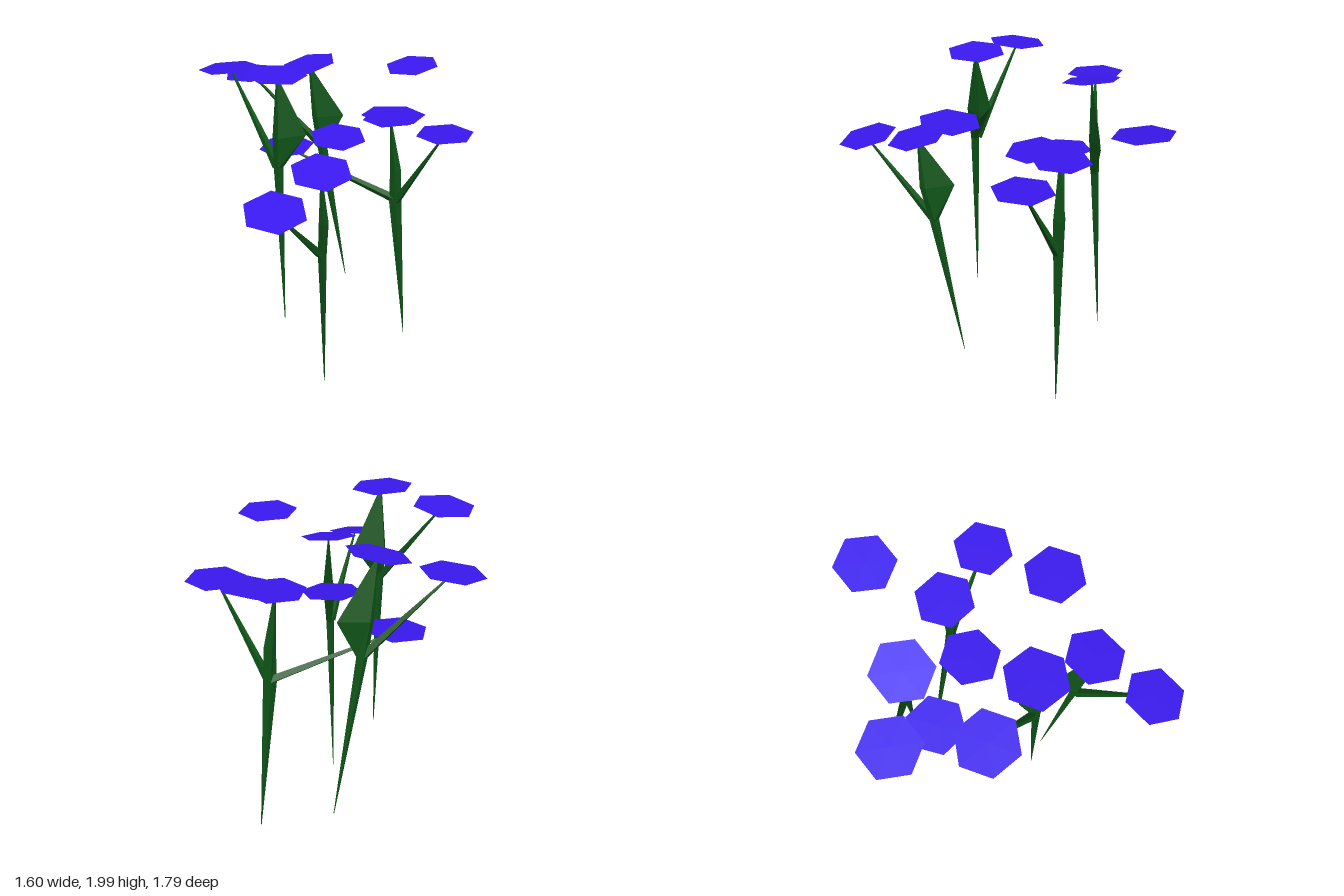
import * as THREE from 'three';

const green = new THREE.MeshStandardMaterial({ color: 0x0f5518, flatShading: true, side: THREE.DoubleSide });
const blue = new THREE.MeshStandardMaterial({ color: 0x3a18f0, flatShading: true, side: THREE.DoubleSide });

// Four-cornered loft. Each ring: [x, y, z, left, right, back, front] (reach from its centre)
function loft(rings) {
  const pos = [], idx = [];
  rings.forEach(([x, y, z, l, r, b, f], i) => {
    pos.push(x + r, y, z, x, y, z + f, x - l, y, z, x, y, z - b);
    if (!i) return;
    for (let k = 0; k < 4; k++) {
      const a = (i - 1) * 4 + k, c = (i - 1) * 4 + (k + 1) % 4;
      idx.push(a, a + 4, c, c, a + 4, c + 4);
    }
  });
  const g = new THREE.BufferGeometry();
  g.setAttribute('position', new THREE.Float32BufferAttribute(pos, 3));
  g.setIndex(idx);
  g.computeVertexNormals();
  return g;
}

// Thin tapered side branch between two points
function branch(from, to) {
  const a = new THREE.Vector3(...from), b = new THREE.Vector3(...to);
  const g = new THREE.CylinderGeometry(0.005, 0.028, a.distanceTo(b), 4, 1);
  const mesh = new THREE.Mesh(g, green);
  mesh.position.copy(a).lerp(b, 0.5);
  mesh.quaternion.setFromUnitVectors(new THREE.Vector3(0, 1, 0), b.sub(a).normalize());
  mesh.name = 'sideBranch';
  return mesh;
}

// Flat hexagonal bloom: a = corner angle in degrees, sx and sz = slope of the plane
function bloom([x, y, z, a, sx, sz]) {
  const g = new THREE.CircleGeometry(0.175, 6, THREE.MathUtils.degToRad(-a));
  g.rotateX(-Math.PI / 2);
  const p = g.attributes.position;
  for (let i = 0; i < p.count; i++) p.setY(i, p.getX(i) * sx + p.getZ(i) * sz);
  g.computeVertexNormals();
  const mesh = new THREE.Mesh(g, blue);
  mesh.position.set(x, y, z);
  mesh.name = 'bloom';
  return mesh;
}

// Stems run root, node, leaf bulge, tip; branches start near the node
const plants = [
  {
    rings: [
      [-0.355, 0.42, 0.06, 0.002, 0.002, 0.002, 0.002],
      [-0.365, 1.45, 0.065, 0.025, 0.03, 0.025, 0.025],
      [-0.36, 1.64, 0.055, 0.03, 0.16, 0.085, 0.055],
      [-0.355, 1.985, 0.06, 0.004, 0.004, 0.004, 0.004]],
    branches: [[[-0.37, 1.45, 0.05], [-0.62, 1.95, -0.23]]],
  },
  {
    rings: [
      [0.46, 0.01, -0.33, 0.002, 0.002, 0.002, 0.002],
      [0.375, 1.02, -0.325, 0.04, 0.04, 0.03, 0.03],
      [0.36, 1.24, -0.325, 0.025, 0.045, 0.035, 0.035],
      [0.33, 1.58, -0.32, 0.004, 0.004, 0.004, 0.004]],
    branches: [
      [[0.38, 1.03, -0.32], [0.615, 1.56, -0.07]],
      [[0.37, 1.04, -0.33], [-0.3, 1.345, -0.485]]],
  },
  {
    rings: [
      [-0.117, 0.01, 0.18, 0.002, 0.002, 0.002, 0.002],
      [-0.13, 1.02, 0.35, 0.025, 0.025, 0.03, 0.03],
      [-0.125, 1.25, 0.4, 0.025, 0.03, 0.18, 0.03],
      [-0.135, 1.56, 0.428, 0.004, 0.004, 0.004, 0.004]],
    branches: [[[-0.14, 1.03, 0.36], [-0.38, 1.47, 0.72]]],
  },
  {
    rings: [
      [0.08, 0.3, -0.67, 0.002, 0.002, 0.002, 0.002],
      [-0.08, 1.3, -0.63, 0.03, 0.035, 0.025, 0.025],
      [-0.11, 1.51, -0.62, 0.03, 0.17, 0.035, 0.03],
      [-0.155, 1.85, -0.598, 0.004, 0.004, 0.004, 0.004]],
    branches: [[[-0.09, 1.31, -0.63], [-0.51, 1.76, -0.71]]],
  },
];

const blooms = [
  [-0.52, 1.775, -0.71, 90, 0.09, -0.03],
  [-0.16, 1.86, -0.595, 90, 0.21, -0.06],
  [-0.31, 1.36, -0.485, -6, 0.06, -0.04],
  [-0.63, 1.955, -0.23, 0, 0.06, 0.07],
  [-0.36, 1.995, 0.055, 0, -0.04, -0.04],
  [0, 1.51, -0.24, 84, 0, -0.13],
  [0.33, 1.59, -0.33, -5, 0.03, 0],
  [0.62, 1.575, -0.07, -5, 0.02, 0],
  [0.51, 1.8, -0.72, 90, 0.13, -0.07],
  [0.265, 1.825, 0.27, 0, -0.02, 0.03],
  [-0.135, 1.572, 0.43, 84, 0, -0.21],
  [-0.385, 1.485, 0.72, 84, 0, -0.23],
];

export function createModel() {
  const model = new THREE.Group();
  model.name = 'flowers';
  for (const { rings, branches } of plants) {
    const plant = new THREE.Group();
    plant.name = 'plant';
    const stem = new THREE.Mesh(loft(rings), green);
    stem.name = 'stemWithLeaf';
    plant.add(stem, ...branches.map(([a, b]) => branch(a, b)));
    model.add(plant);
  }
  model.add(...blooms.map(bloom));
  return model;
}
